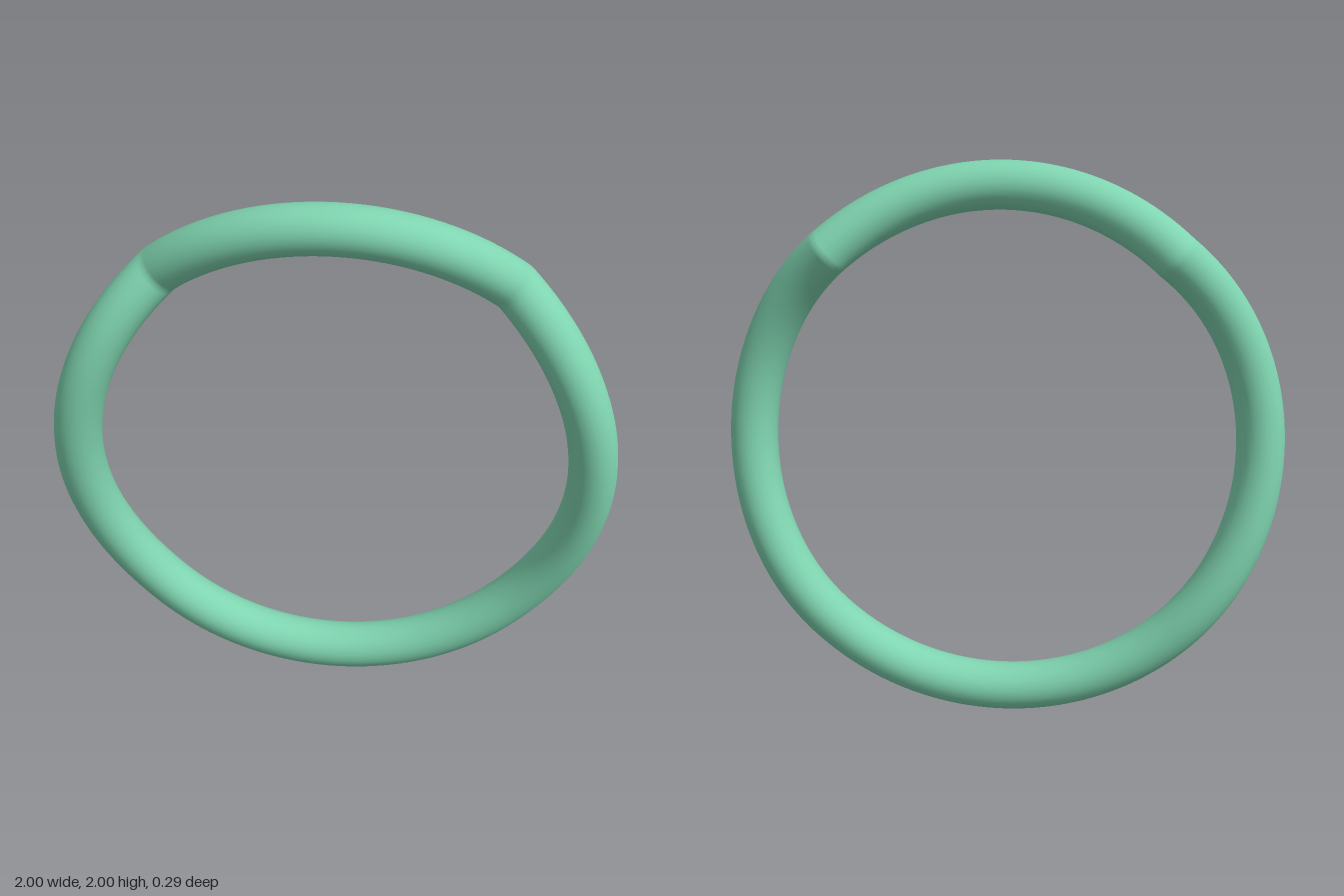
import * as THREE from 'three';
import { mergeVertices } from 'three/addons/utils/BufferGeometryUtils.js';

const RING = 0.915, TUBE = 0.085, DEPTH = 0.093, WAVE = 0.053;
const KINK = 49, PEAK = 16, FLAT = -46; // degrees above the horizontal

// Forward offset of the band at an angle (degrees, -90 bottom to 90 top)
function waveOffset(a) {
  if (a >= KINK) { // top arch, falling to the kinks
    const s = Math.sin(THREE.MathUtils.degToRad(KINK));
    return WAVE * (1 - 2 * (1 - Math.sin(THREE.MathUtils.degToRad(a))) / (1 - s));
  }
  if (a >= PEAK) return WAVE * (1 - 2 * ((a - PEAK) / (KINK - PEAK)) ** 2);
  if (a >= FLAT) return WAVE * Math.cos(Math.PI * (PEAK - a) / (PEAK - FLAT));
  return -WAVE; // flat bottom
}

export function createModel() {
  const group = new THREE.Group();
  group.name = 'wavyRing';

  // Torus with an oval section, swayed forward and back around its length
  let geometry = new THREE.TorusGeometry(RING, TUBE, 28, 360);
  const p = geometry.attributes.position;
  for (let i = 0; i < p.count; i++) {
    const x = p.getX(i), y = p.getY(i);
    const angle = THREE.MathUtils.radToDeg(Math.atan2(y, Math.abs(x)));
    p.setZ(i, p.getZ(i) * DEPTH / TUBE + waveOffset(angle));
  }
  // Weld the seams so that the shading is continuous
  geometry.deleteAttribute('uv');
  geometry.deleteAttribute('normal');
  geometry = mergeVertices(geometry, 1e-5);
  geometry.computeVertexNormals();

  const band = new THREE.Mesh(geometry, new THREE.MeshStandardMaterial({ color: 0x7fd4b0 }));
  band.name = 'band';
  band.position.y = RING + TUBE;
  group.add(band);
  return group;
}
